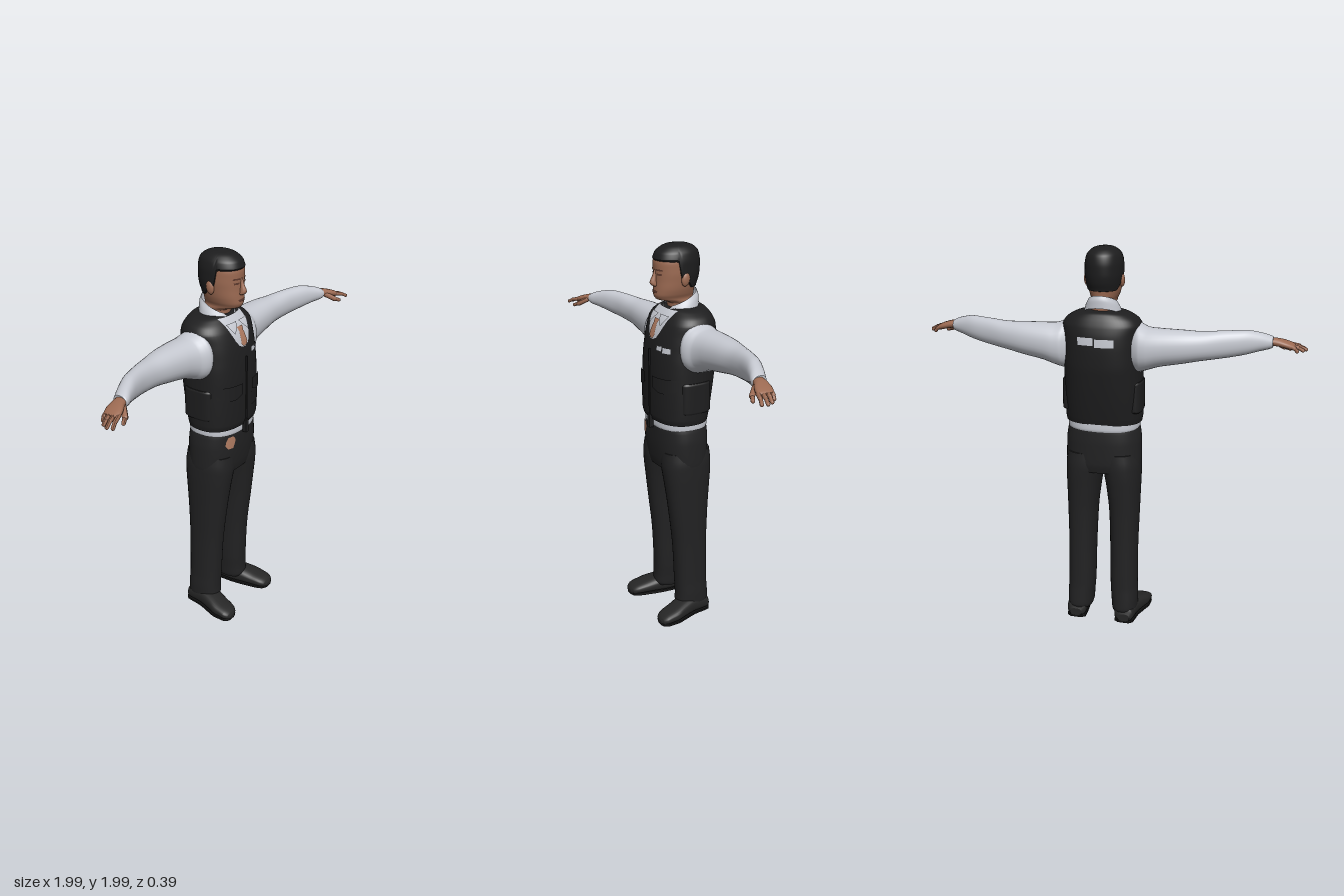
import * as THREE from 'three';

const mat = (name, color, side = THREE.FrontSide) => {
  const m = new THREE.MeshStandardMaterial({ color, side });
  m.name = name;
  return m;
};
const smooth = THREE.MathUtils.smoothstep;

// Cross-section at t: rows are [t, a0, a1, b0, b1, exponent], joined by a monotone cubic.
function section(rows, t) {
  const last = rows.length - 1;
  t = Math.min(Math.max(t, rows[0][0]), rows[last][0]);
  let i = 0;
  while (i < last - 1 && t > rows[i + 1][0]) i++;
  const slope = (k, c) => (rows[k + 1][c] - rows[k][c]) / (rows[k + 1][0] - rows[k][0]);
  const tangent = (k, c) => {
    if (k === 0) return slope(0, c);
    if (k === last) return slope(last - 1, c);
    const p = slope(k - 1, c), q = slope(k, c);
    return p * q > 0 ? (2 * p * q) / (p + q) : 0;
  };
  const h = rows[i + 1][0] - rows[i][0], u = (t - rows[i][0]) / h;
  return [1, 2, 3, 4, 5].map((c) =>
    rows[i][c] * (1 + 2 * u) * (1 - u) ** 2 + tangent(i, c) * h * u * (1 - u) ** 2 +
    rows[i + 1][c] * u * u * (3 - 2 * u) + tangent(i + 1, c) * h * u * u * (u - 1));
}

// Point on the superellipse at height t and angle th, as [t, a, b].
function surfacePoint(rows, t, th) {
  const [a0, a1, b0, b1, n] = section(rows, t);
  const pow = (v) => Math.sign(v) * Math.abs(v) ** (2 / n);
  return [t, (a0 + a1) / 2 + ((a1 - a0) / 2) * pow(Math.cos(th)), (b0 + b1) / 2 + ((b1 - b0) / 2) * pow(Math.sin(th))];
}

const AXES = {
  x: ([t, a, b]) => [t, b, a],
  y: ([t, a, b]) => [a, t, b],
  z: ([t, a, b]) => [b, a, t],
};

// Smooth skin through the sections along an axis; low(th) may raise the lower edge.
function loft(rows, { axis = 'y', segs = 40, steps = 4, caps = true, low = null } = {}) {
  const pos = [], index = [], ts = [];
  rows.forEach((r, i) => {
    if (i) for (let k = 1; k <= steps; k++) ts.push(rows[i - 1][0] + ((r[0] - rows[i - 1][0]) * k) / steps);
    else ts.push(r[0]);
  });
  const t0 = ts[0], t1 = ts[ts.length - 1];
  const ring = (t) => {
    for (let j = 0; j < segs; j++) {
      const th = (j / segs) * Math.PI * 2;
      const lo = low ? low(th) : t0;
      pos.push(...AXES[axis](surfacePoint(rows, lo + ((t - t0) / (t1 - t0)) * (t1 - lo), th)));
    }
  };
  ts.forEach(ring);
  for (let i = 0; i < ts.length - 1; i++) for (let j = 0; j < segs; j++) {
    const p = i * segs + j, q = i * segs + ((j + 1) % segs);
    index.push(p, p + segs, q, q, p + segs, q + segs);
  }
  if (caps) [t0, t1].forEach((t, end) => {
    const base = pos.length / 3;
    ring(t);
    const s = section(rows, t);
    pos.push(...AXES[axis]([t, (s[0] + s[1]) / 2, (s[2] + s[3]) / 2]));
    for (let j = 0; j < segs; j++) {
      const p = base + j, q = base + ((j + 1) % segs);
      index.push(base + segs, ...(end ? [q, p] : [p, q]));
    }
  });
  return build(pos, index);
}

function build(pos, index) {
  const g = new THREE.BufferGeometry();
  g.setAttribute('position', new THREE.Float32BufferAttribute(pos, 3));
  g.setIndex(index);
  g.computeVertexNormals();
  return g;
}

// Thin patch laid on the front (dir 1) or back (dir -1) of a loft; outline rows are [y, x0, x1].
function decal(rows, outline, offset, dir = 1) {
  const pos = [], index = [], N = 10, K = 4;
  const M = (outline.length - 1) * K;
  for (let i = 0; i <= M; i++) {
    const k = Math.min(Math.floor(i / K), outline.length - 2), u = i / K - k;
    const [y, x0, x1] = outline[k].map((v, c) => v + (outline[k + 1][c] - v) * u);
    const [a0, a1, b0, b1, n] = section(rows, y);
    for (let j = 0; j <= N; j++) {
      const x = x0 + ((x1 - x0) * j) / N;
      const e = Math.min(1, Math.abs((x - (a0 + a1) / 2) / ((a1 - a0) / 2)));
      pos.push(x, y, (b0 + b1) / 2 + dir * (((b1 - b0) / 2) * (1 - e ** n) ** (1 / n) + offset));
      if (i < M && j < N) {
        const p = i * (N + 1) + j, q = p + N + 1;
        index.push(...(dir > 0 ? [p, p + 1, q, q, p + 1, q + 1] : [p, q, p + 1, q, q + 1, p + 1]));
      }
    }
  }
  return build(pos, index);
}

// Copy reflected across x = 0 with its corners reordered.
function mirrored(geo) {
  const g = geo.clone().scale(-1, 1, 1), ix = g.index.array;
  for (let i = 0; i < ix.length; i += 3) [ix[i], ix[i + 1]] = [ix[i + 1], ix[i]];
  g.computeVertexNormals();
  return g;
}

// Capsule between two points, used for the fingers.
function capsule(p, q, r) {
  const a = new THREE.Vector3(...p), b = new THREE.Vector3(...q), d = b.clone().sub(a);
  const turn = new THREE.Quaternion().setFromUnitVectors(new THREE.Vector3(0, 1, 0), d.clone().normalize());
  const g = new THREE.CapsuleGeometry(r, d.length(), 4, 8).applyQuaternion(turn);
  return g.translate(...a.add(b).multiplyScalar(0.5).toArray());
}

const sym = (n) => ([y, x, back, front]) => [y, -x, x, back, front, n];
const HEAD = [[1.62, .06, -.1, .04], [1.7, .06, -.096, .035], [1.712, .06, -.096, .06], [1.725, .06, -.096, .103],
  [1.75, .07, -.097, .115], [1.78, .079, -.1, .114], [1.82, .085, -.113, .112], [1.86, .089, -.119, .112],
  [1.9, .089, -.12, .113], [1.94, .08, -.112, .1], [1.965, .06, -.088, .072], [1.978, .036, -.056, .042],
  [1.983, .006, -.02, .01]].map(sym(2.1));
const HAIR = HEAD.filter((r) => r[0] > 1.74).map(([y, a, b, c, d, n]) =>
  [y > 1.9 ? y + .007 : y, a - .006, b + .006, c - .006, d + .005, n]);
const VEST = [[1.11, .194, -.138, .138], [1.14, .198, -.145, .145], [1.25, .199, -.165, .146], [1.35, .198, -.18, .146],
  [1.42, .198, -.188, .143], [1.5, .195, -.19, .134], [1.56, .195, -.187, .121], [1.61, .199, -.177, .102],
  [1.64, .184, -.165, .084], [1.665, .15, -.15, .062], [1.68, .11, -.135, .045], [1.685, .05, -.09, .01]].map(sym(2.4));
const HIPS = [[.85, .192, -.13, .115], [.9, .196, -.14, .125], [1, .195, -.141, .132], [1.06, .188, -.138, .132],
  [1.085, .182, -.135, .13]].map(sym(2.4));

export function createModel() {
  const root = new THREE.Group();
  root.name = 'uniformedMan';
  const skin = mat('skin', 0x9c6a52), hair = mat('hair', 0x1d1d1e), shirt = mat('shirt', 0xc6c9d1, THREE.DoubleSide);
  const vest = mat('vest', 0x1e1e1f), trousers = mat('trousers', 0x222223), shoe = mat('shoe', 0x262626);
  const sole = mat('sole', 0x121212), tie = mat('tie', 0xb07c62), feature = mat('feature', 0x5e3a2e);
  const add = (name, geo, m) => {
    const mesh = new THREE.Mesh(geo, m);
    mesh.name = name;
    root.add(mesh);
  };
  const pair = (name, geo, m) => {
    add(name + 'Left', geo, m);
    add(name + 'Right', mirrored(geo), m);
  };

  // Head, hair and face
  add('head', loft(HEAD, { segs: 48 }), skin);
  const hairline = (th) => {
    const s = Math.sin(th);
    return 1.83 - .05 * smooth(-s, 0, .6) + .092 * smooth(s, .1, .28);
  };
  add('hair', loft(HAIR, { segs: 72, low: hairline }), hair);
  add('nose', loft([[1.788, -.008, .008, .1, .115, 2], [1.797, -.017, .017, .1, .132, 2], [1.81, -.015, .015, .1, .139, 2],
    [1.84, -.01, .01, .1, .126, 2], [1.872, -.007, .007, .1, .115, 2]], { segs: 16 }), skin);
  pair('ear', new THREE.SphereGeometry(1, 16, 12).scale(.013, .034, .022).rotateX(-.15).translate(.09, 1.826, -.008), skin);
  pair('eye', decal(HEAD, [[1.846, .022, .046], [1.855, .02, .048]], .003), feature);
  pair('eyebrow', decal(HEAD, [[1.868, .014, .052], [1.876, .018, .05]], .003), feature);
  add('mouth', decal(HEAD, [[1.758, -.02, .02], [1.768, -.027, .027], [1.772, -.012, .012]], .003), feature);

  // Collar, leaning forward with an open notch at the throat
  const collar = loft([[1.645, .1, -.12, .08], [1.68, .088, -.12, .07], [1.71, .072, -.112, .055]].map(sym(2)), { caps: false });
  const cp = collar.attributes.position;
  for (let i = 0; i < cp.count; i++) {
    const [x, y, z] = [cp.getX(i), cp.getY(i), cp.getZ(i)];
    const notch = z > 0 ? .05 * Math.max(0, 1 - Math.abs(x) / .04) * ((y - 1.645) / .065) : 0;
    cp.setY(i, y - z * .45 - notch);
  }
  collar.computeVertexNormals();
  add('collar', collar, shirt);

  // Vest with shirt front, collar points and tie
  add('vest', loft(VEST, { segs: 56 }), vest);
  add('shirtFront', decal(VEST, [[1.53, -.012, .012], [1.542, -.036, .036], [1.57, -.055, .055], [1.61, -.072, .072],
    [1.65, -.084, .084], [1.676, -.09, .09]], .003), shirt);
  add('tie', decal(VEST, [[1.536, -.012, .012], [1.55, -.024, .024], [1.6, -.018, .018], [1.605, -.015, .015],
    [1.628, -.022, .022]], .008), tie);
  pair('collarPoint', decal(VEST, [[1.605, .05, .056], [1.63, .026, .07], [1.652, .01, .08]], .012), shirt);

  // Pockets, badge and back patch
  pair('pocket', decal(VEST, [[1.2, .045, .165], [1.3, .04, .172]], .003), vest);
  pair('pocketFlap', decal(VEST, [[1.275, .085, .13], [1.295, .04, .176], [1.352, .04, .18]], .009), vest);
  add('zip', new THREE.BoxGeometry(.01, .36, .008).translate(0, 1.3, .146), vest);
  add('zipEnd', new THREE.BoxGeometry(.022, .07, .022).translate(0, 1.1, .144), vest);
  add('badgeInner', decal(VEST, [[1.485, .055, .09], [1.51, .053, .092]], .005), shirt);
  add('badgeOuter', decal(VEST, [[1.48, .097, .14], [1.506, .095, .138]], .005), shirt);
  add('backPatchLeft', decal(VEST, [[1.53, .012, .09], [1.568, .01, .092]], .005, -1), shirt);
  add('backPatchRight', decal(VEST, [[1.522, -.092, .004], [1.562, -.09, .004]], .005, -1), shirt);
  // Side closures
  pair('sideStrap', loft([[1.17, .12, .202, -.09, .06, 3], [1.18, .12, .206, -.1, .065, 3], [1.32, .12, .206, -.1, .065, 3],
    [1.33, .12, .202, -.09, .06, 3]]), vest);

  // Sleeves
  pair('sleeve', loft([[.15, -.12, .06, 1.39, 1.61, 2.2], [.185, -.142, .072, 1.38, 1.627, 2.2], [.205, -.15, .066, 1.385, 1.618, 2.2],
    [.24, -.152, .045, 1.398, 1.608, 2.2], [.3, -.148, .032, 1.418, 1.606, 2.2], [.4, -.135, .02, 1.437, 1.604, 2.2],
    [.5, -.11, .013, 1.456, 1.6, 2.2], [.6, -.076, .022, 1.47, 1.605, 2.2], [.7, -.042, .048, 1.486, 1.607, 2.2],
    [.77, -.01, .074, 1.502, 1.594, 2.2], [.825, .018, .094, 1.514, 1.574, 2.2], [.832, .022, .09, 1.52, 1.57, 2.2]],
  { axis: 'x', segs: 32 }), shirt);

  // Hands
  pair('palm', loft([[.81, .032, .083, 1.528, 1.566, 2.2], [.85, .034, .1, 1.523, 1.563, 2.2], [.89, .036, .122, 1.515, 1.552, 2.4],
    [.925, .046, .13, 1.507, 1.538, 2.4], [.935, .055, .125, 1.512, 1.53, 2.4]], { axis: 'x', segs: 20 }), skin);
  [[.054, .948], [.077, .975], [.1, .988], [.121, .98]].forEach(([z, tip], i) => {
    const spread = (z - .085) * .25 + .015, mid = (.915 + tip) / 2 + .004;
    pair('finger' + (i + 1), capsule([.915, 1.526, z], [mid, 1.517, z + spread / 2], .0105), skin);
    pair('fingertip' + (i + 1), capsule([mid, 1.517, z + spread / 2], [tip, 1.502, z + spread], .009), skin);
  });
  pair('thumb', capsule([.85, 1.533, .092], [.882, 1.508, .128], .014), skin);
  pair('thumbTip', capsule([.882, 1.508, .128], [.91, 1.496, .142], .01), skin);

  // Shirt hem, trousers and hip disc
  add('shirtHem', loft([[1.06, .176, -.13, .125], [1.085, .184, -.14, .133], [1.13, .184, -.138, .13]].map(sym(2.4))), shirt);
  add('hips', loft(HIPS, { segs: 48 }), trousers);
  pair('trouserLeg', loft([[.055, .06, .184, -.115, .05, 2.4], [.075, .055, .19, -.121, .06, 2.4], [.12, .052, .19, -.119, .058, 2.4],
    [.2, .046, .186, -.115, .06, 2.4], [.4, .042, .185, -.115, .07, 2.3], [.6, .036, .189, -.12, .092, 2.3],
    [.75, .02, .193, -.131, .11, 2.3], [.83, .006, .195, -.138, .12, 2.3], [.88, -.005, .195, -.14, .124, 2.3],
    [.95, -.01, .185, -.135, .12, 2.3]], { segs: 32 }), trousers);
  add('hipDisc', decal(HIPS, [[1, -.115, -.085], [1.022, -.13, -.075], [1.045, -.125, -.068], [1.066, -.112, -.082]], .004), tie);

  // Shoes, toes turned slightly outward
  pair('shoe', loft([[-.12, .01, .05, .1, .165, 2.6], [-.105, .005, .085, .08, .182, 2.6], [-.02, .005, .1, .078, .195, 2.6],
    [.05, .005, .088, .092, .214, 2.6], [.11, .005, .07, .108, .23, 2.6], [.16, .005, .056, .122, .23, 2.6],
    [.185, .006, .042, .138, .218, 2.6], [.195, .01, .028, .16, .2, 2.6]], { axis: 'z', segs: 28 }), shoe);
  pair('sole', loft([[-.12, 0, .014, .1, .165, 8], [-.105, 0, .014, .08, .182, 8], [-.02, 0, .014, .084, .193, 8],
    [.05, 0, .014, .094, .214, 8], [.11, 0, .014, .108, .23, 8], [.16, 0, .014, .122, .23, 8],
    [.185, 0, .014, .138, .218, 8], [.194, 0, .014, .16, .2, 8]], { axis: 'z', segs: 24 }), sole);
  return root;
}
